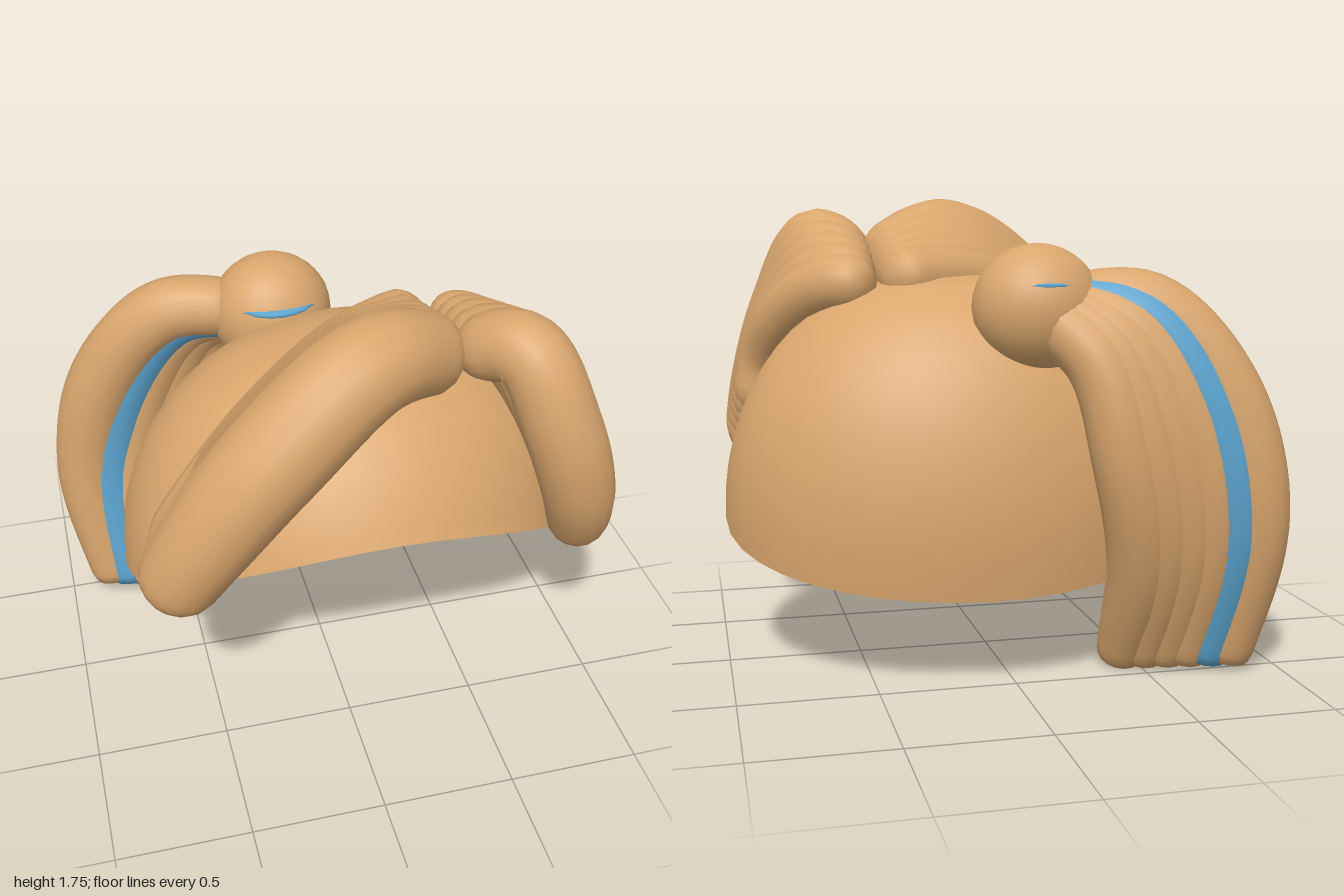
import * as THREE from 'three';
import { mergeVertices } from 'three/addons/utils/BufferGeometryUtils.js';

const hair = new THREE.MeshStandardMaterial({ color: 0xd9a66d, side: THREE.DoubleSide });
hair.name = 'tan hair';
const accent = new THREE.MeshStandardMaterial({ color: 0x5ba4cf, side: THREE.DoubleSide });
accent.name = 'blue accent';

// Weld seams and give smooth normals
function smooth(geo) {
  geo.deleteAttribute('uv');
  geo.deleteAttribute('normal');
  const g = mergeVertices(geo, 1e-4);
  g.computeVertexNormals();
  return g;
}

function addMesh(parent, name, geo, material) {
  const mesh = new THREE.Mesh(geo, material);
  mesh.name = name;
  parent.add(mesh);
  return mesh;
}

// Tube with rounded ends; radius swells from r0 to r1 (middle) to r2
function strand(points, [r0, r1, r2], roundStart, roundEnd) {
  const curve = new THREE.CatmullRomCurve3(points);
  const segs = 48, sides = 16;
  const geo = new THREE.TubeGeometry(curve, segs, 1, sides);
  const pos = geo.attributes.position;
  const v = new THREE.Vector3();
  const cap = (d, e) => (d >= e ? 1 : Math.sqrt(Math.max(0, 1 - ((e - d) / e) ** 2)));
  for (let i = 0; i <= segs; i++) {
    const t = i / segs;
    const centre = curve.getPointAt(t);
    const swell = Math.sin(Math.PI * t);
    const r = (THREE.MathUtils.lerp(r0, r2, t) * (1 - swell) + r1 * swell)
      * cap(t, roundStart) * cap(1 - t, roundEnd);
    for (let j = 0; j <= sides; j++) {
      const k = i * (sides + 1) + j;
      v.fromBufferAttribute(pos, k).sub(centre).multiplyScalar(r).add(centre);
      pos.setXYZ(k, v.x, v.y, v.z);
    }
  }
  return smooth(geo);
}

// Fan of overlapping strands blended between a first and a last path
function lock(name, count, first, last, radiiA, radiiB, ends, accentIndex = -1) {
  const group = new THREE.Group();
  group.name = name;
  for (let i = 0; i < count; i++) {
    const f = i / (count - 1);
    const pts = first.map((p, k) =>
      new THREE.Vector3(...p).lerp(new THREE.Vector3(...last[k]), f));
    const radii = radiiA.map((r, k) => THREE.MathUtils.lerp(r, radiiB[k], f));
    addMesh(group, `${name}Strand${i + 1}`, strand(pts, radii, ...ends),
      i === accentIndex ? accent : hair);
  }
  return group;
}

// Open skull cap: squarish dome whose rim rises and flares at the front
function capGeometry() {
  const rows = 14, top = 1.46, widest = 0.57;
  const profile = [];
  for (let i = rows; i >= 0; i--) profile.push(new THREE.Vector2(i ? 1 : 0, (i / rows) ** 1.7));
  const geo = new THREE.LatheGeometry(profile, 40);
  const pos = geo.attributes.position;
  for (let i = 0; i < pos.count; i++) {
    const x = pos.getX(i), depth = pos.getY(i), z = pos.getZ(i);
    const rim = z > 0 ? 0.55 + 0.45 * z ** 1.5 : 0.55 - 0.21 * (-z) ** 0.8;
    const y = top + (rim - top) * depth;
    const r = Math.max(0, 1 - ((y - widest) / (top - widest)) ** 2) ** 0.4;
    const flare = z > 0 ? 0.07 * z * z * depth : 0;
    pos.setXYZ(i, 0.105 + 0.895 * x * r, y, 0.05 + 0.67 * z * r + flare);
  }
  return smooth(geo);
}

export function createModel() {
  const model = new THREE.Group();
  model.name = 'hairstyle';

  addMesh(model, 'cap', capGeometry(), hair);

  // Long fringe sweeping to the right
  model.add(lock('rightFringe', 5,
    [[0.4, 1.47, 0.27], [0.06, 1.575, 0.46], [-0.3, 1.32, 0.55], [-0.54, 1.02, 0.55], [-0.7, 0.73, 0.5]],
    [[0.4, 1.45, -0.08], [0.06, 1.43, 0.11], [-0.26, 1.3, 0.3], [-0.53, 1.11, 0.45], [-0.68, 0.9, 0.45]],
    [0.14, 0.186, 0.14], [0.11, 0.125, 0.1], [0.08, 0.09]));

  // Short fringe falling to the left
  model.add(lock('leftFringe', 5,
    [[0.44, 1.48, 0.28], [0.6, 1.575, 0.49], [0.71, 1.33, 0.6], [0.81, 1.02, 0.6], [0.89, 0.71, 0.47]],
    [[0.43, 1.42, -0.06], [0.58, 1.42, 0.03], [0.73, 1.3, 0.24], [0.81, 1.11, 0.41], [0.87, 0.88, 0.42]],
    [0.12, 0.14, 0.1], [0.11, 0.115, 0.09], [0.12, 0.12]));

  // Side ponytail, outermost strand first
  model.add(lock('ponytail', 6,
    [[-0.2, 1.37, -0.39], [-0.5, 1.35, -0.47], [-0.745, 1.05, -0.56], [-0.86, 0.6, -0.59], [-0.81, 0.005, -0.485]],
    [[-0.11, 1.34, -0.43], [-0.27, 1.17, -0.57], [-0.36, 0.83, -0.62], [-0.44, 0.45, -0.55], [-0.44, 0.005, -0.35]],
    [0.11, 0.142, 0.09], [0.12, 0.12, 0.09], [0.06, 0.035], 1));

  // Bun with a thin band showing at its edges
  const bun = addMesh(model, 'bun', new THREE.SphereGeometry(1, 24, 16), hair);
  bun.scale.set(0.235, 0.23, 0.21);
  bun.position.set(-0.1, 1.35, -0.38);
  const band = addMesh(model, 'bunBand', new THREE.SphereGeometry(1, 24, 12), accent);
  band.scale.set(0.19, 0.03, 0.207);
  band.position.set(-0.1, 1.435, -0.373);

  return model;
}
